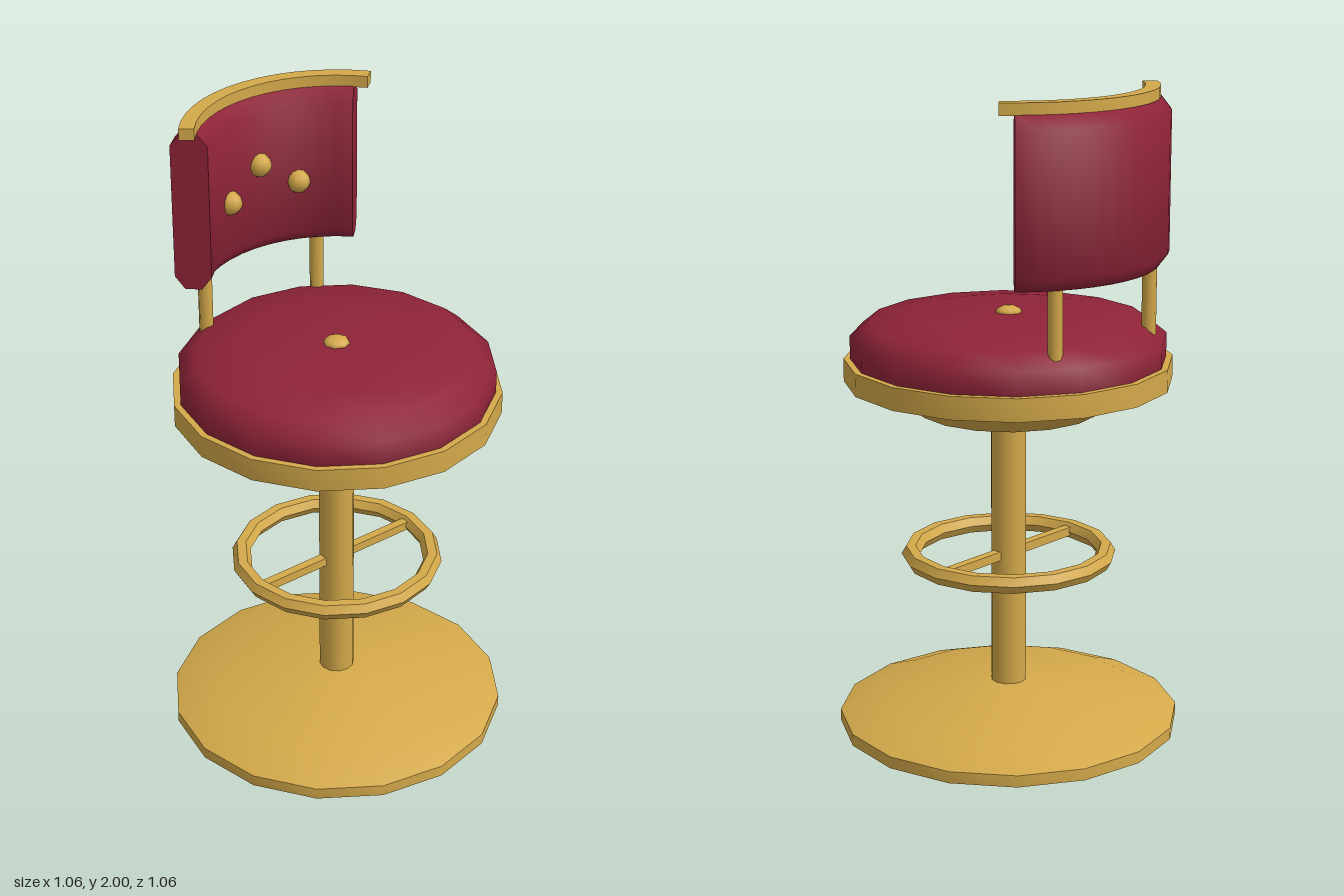
import * as THREE from 'three';
import { mergeGeometries, toCreasedNormals } from 'three/addons/utils/BufferGeometryUtils.js';

const gold = new THREE.MeshStandardMaterial({ color: 0xd4a94a });
gold.name = 'brass';
const red = new THREE.MeshStandardMaterial({ color: 0x8f2338 });
red.name = 'crimson upholstery';

const SIDES = 16;
const toPoints = (list) => list.map(([r, y]) => new THREE.Vector2(r, y));

// Full turned part from a [radius, y] profile listed from the bottom up
function turned(profile, crease = 0.6) {
  return toCreasedNormals(new THREE.LatheGeometry(toPoints(profile), SIDES), crease);
}

// Closed [radius, y] section swept round the back of the seat, with capped ends
function backArc(section, halfAngle, segments, crease) {
  const start = Math.PI - halfAngle;
  const end = Math.PI + halfAngle;
  const sweep = new THREE.LatheGeometry(
    toPoints([...section, section[0]]), segments, start, 2 * halfAngle);
  const startCap = new THREE.ShapeGeometry(new THREE.Shape(toPoints(section)));
  startCap.rotateY(start - Math.PI / 2);
  const mirrored = section.map(([r, y]) => [-r, y]);
  const endCap = new THREE.ShapeGeometry(new THREE.Shape(toPoints(mirrored)));
  endCap.rotateY(end + Math.PI / 2);
  return toCreasedNormals(mergeGeometries([sweep, startCap, endCap]), crease);
}

export function createModel() {
  const model = new THREE.Group();
  model.name = 'barStool';

  const add = (name, geometry, material, x = 0, y = 0, z = 0) => {
    const mesh = new THREE.Mesh(geometry, material);
    mesh.name = name;
    mesh.position.set(x, y, z);
    model.add(mesh);
    return mesh;
  };

  // Domed foot and column
  add('base', turned([[0, 0], [0.53, 0], [0.53, 0.037], [0.41, 0.083], [0.12, 0.13], [0, 0.135]]), gold);
  add('column', new THREE.CylinderGeometry(0.055, 0.055, 0.94, 12), gold, 0, 0.57, 0);

  // Footrest ring with its crossbar
  const ring = new THREE.TorusGeometry(0.303, 0.029, 6, SIDES);
  ring.rotateX(Math.PI / 2);
  add('footRing', toCreasedNormals(ring, 0.6), gold, 0, 0.552, 0);
  add('footRingBar', new THREE.BoxGeometry(0.6, 0.028, 0.028), gold, 0, 0.552, 0);

  // Seat: tapered pan, open trim band and domed cushion
  add('seatPan', turned([[0, 1.015], [0.28, 1.015], [0.42, 1.13], [0, 1.13]]), gold);
  add('seatBand', turned([[0.465, 1.105], [0.5, 1.105], [0.5, 1.175], [0.465, 1.175], [0.465, 1.105]]), gold);
  add('seatCushion', turned([
    [0, 1.125], [0.46, 1.125], [0.48, 1.15], [0.48, 1.245],
    [0.425, 1.29], [0.28, 1.31], [0, 1.315],
  ], 1.0), red);

  // Back posts
  for (const side of [-1, 1]) {
    add(side > 0 ? 'leftBackPost' : 'rightBackPost',
      new THREE.CylinderGeometry(0.022, 0.022, 0.34, 8), gold, side * 0.213, 1.38, -0.37);
  }

  // Curved back pad with chamfered edges, and the rail on top
  add('backPad', backArc([
    [0.4, 1.47], [0.45, 1.47], [0.48, 1.51], [0.48, 1.927],
    [0.45, 1.966], [0.4, 1.966], [0.37, 1.927], [0.37, 1.51],
  ], 0.8, 12, 1.0), red);
  add('topRail', backArc([[0.402, 1.964], [0.447, 1.964], [0.447, 2], [0.402, 2]], 0.9, 14, 0.6), gold);

  // Upholstery buttons
  const button = new THREE.SphereGeometry(0.037, 8, 6);
  for (const [x, y, z] of [[-0.127, 1.68, -0.347], [0, 1.76, -0.37], [0.127, 1.68, -0.347]]) {
    add('backButton', button, gold, x, y, z);
  }
  add('seatButton', button, gold, 0, 1.314, 0).scale.set(1.1, 0.57, 1.1);

  return model;
}
